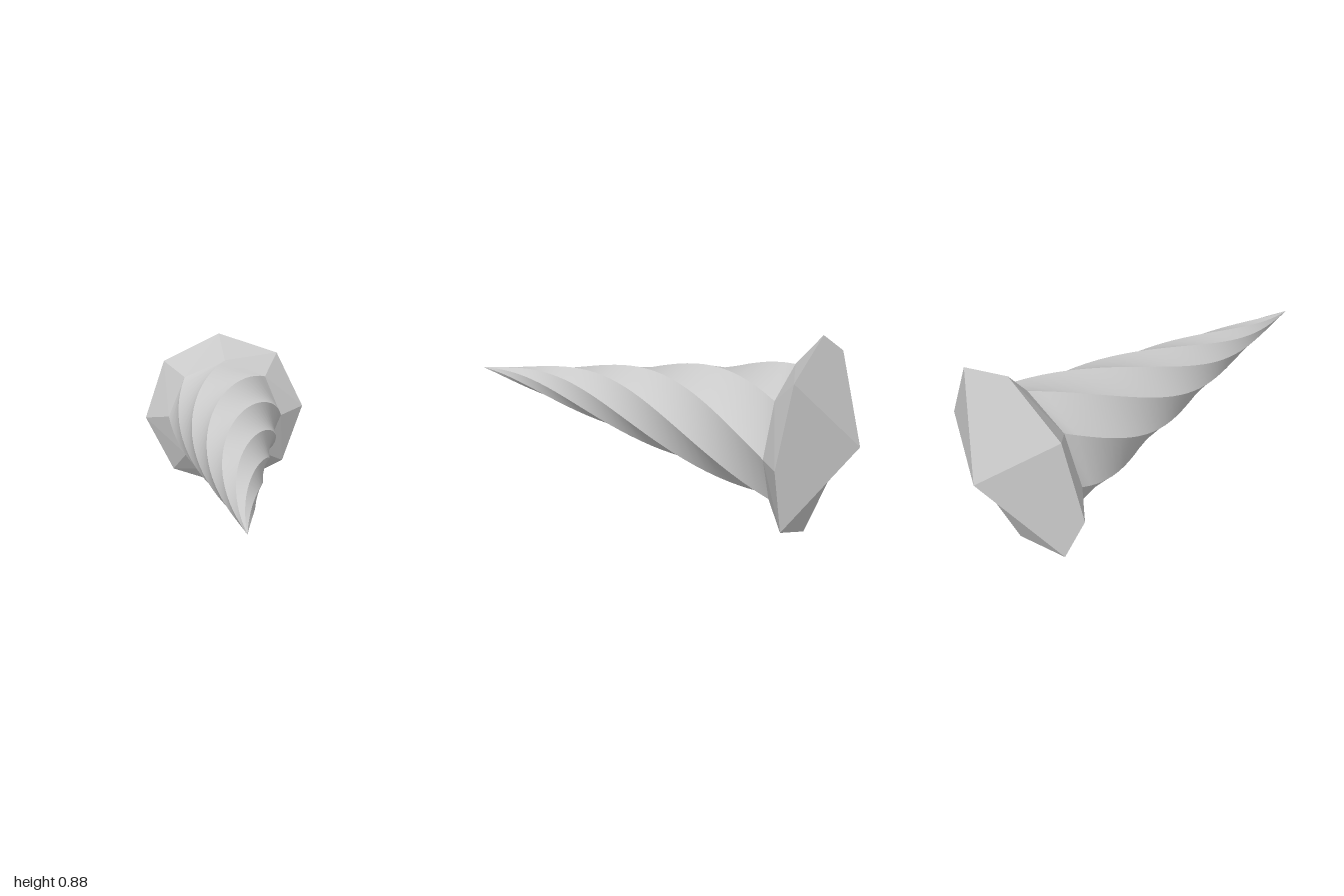
import * as THREE from 'three';

const SIDES = 8, CY = 0.445, STEP = Math.PI * 2 / SIDES;
const RIM_R = 0.4415, RIM_Z = -0.8, RIM_TURN = THREE.MathUtils.degToRad(3.75);
const NECK_R = 0.309, NECK_Z = -0.7;

const grey = () => new THREE.MeshStandardMaterial({ color: 0xcccccc });

const ringPoint = (k, r, z, turn) => {
  const a = k * STEP + turn;
  return [r * Math.cos(a), CY + r * Math.sin(a), z];
};

// Joins octagonal rings { r, z, turn }, running back to front. Each side is its own
// strip, so the ridges between sides stay sharp.
function loft(name, rings, flat) {
  const pos = [], index = [];
  for (let k = 0; k < SIDES; k++) {
    rings.forEach(({ r, z, turn }, i) => {
      const a = pos.length / 3;
      pos.push(...ringPoint(k, r, z, turn), ...ringPoint(k + 1, r, z, turn));
      if (i < rings.length - 1) index.push(a, a + 1, a + 3, a, a + 3, a + 2);
    });
  }
  const geo = new THREE.BufferGeometry();
  geo.setAttribute('position', new THREE.Float32BufferAttribute(pos, 3));
  geo.setIndex(index);
  geo.computeVertexNormals();
  const mat = grey();
  mat.flatShading = flat;
  const mesh = new THREE.Mesh(geo, mat);
  mesh.name = name;
  return mesh;
}

// Four folded panels meeting at the rear point, each shaded as one face
function rearCap() {
  const pos = [], nor = [];
  const apex = [0, CY, -1];
  for (let q = 0; q < 4; q++) {
    const k = 1 + q * 2;
    const [v0, v1, v2] = [0, 1, 2].map(j => ringPoint(k + j, RIM_R, RIM_Z, RIM_TURN));
    // upper and lower panels fold across their corners, side panels along the middle
    const tris = q % 2 === 0
      ? [apex, v2, v0, v2, v1, v0]
      : [apex, v2, v1, apex, v1, v0];
    const a = (k + 1) * STEP + RIM_TURN;
    const n = new THREE.Vector3(0.2 * Math.cos(a), 0.2 * Math.sin(a), -RIM_R).normalize();
    for (const p of tris) {
      pos.push(...p);
      nor.push(n.x, n.y, n.z);
    }
  }
  const geo = new THREE.BufferGeometry();
  geo.setAttribute('position', new THREE.Float32BufferAttribute(pos, 3));
  geo.setAttribute('normal', new THREE.Float32BufferAttribute(nor, 3));
  const mesh = new THREE.Mesh(geo, grey());
  mesh.name = 'rearCap';
  return mesh;
}

export function createModel() {
  const group = new THREE.Group();
  group.name = 'twistedSpike';

  // Twisted shank tapering to the tip
  const segments = 32, twist = THREE.MathUtils.degToRad(193);
  const rings = [];
  for (let i = 0; i <= segments; i++) {
    const t = i / segments;
    rings.push({
      r: Math.max(NECK_R * (1 - t), 0.0005),
      z: NECK_Z + (1 - NECK_Z) * t,
      turn: twist * t,
    });
  }
  group.add(loft('twistedShank', rings, false));

  // Flare from the rim of the head to the neck
  group.add(loft('headFlare', [
    { r: RIM_R, z: RIM_Z, turn: RIM_TURN },
    { r: NECK_R, z: NECK_Z, turn: 0 },
  ], true));

  group.add(rearCap());
  return group;
}
